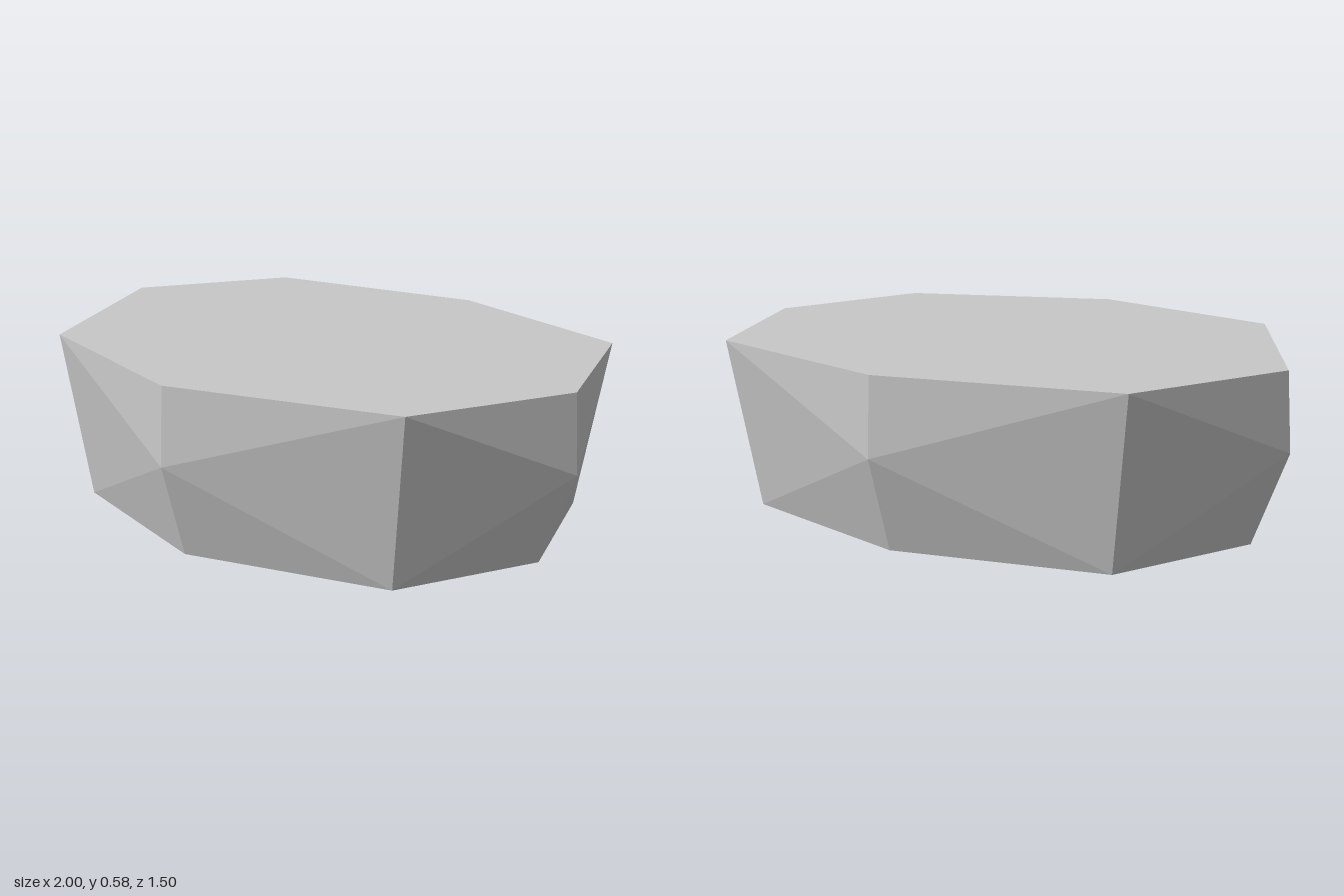
import * as THREE from 'three';
import { ConvexGeometry } from 'three/addons/geometries/ConvexGeometry.js';

const HEIGHT = 0.58;
const BULGE_HEIGHT = 0.32;
const BASE_SCALE = 0.903;

// Uneven eight-sided outline of the flat top, as [x, z]
const outline = [
  [0.98, -0.022], [0.73, 0.485], [0, 0.735], [-0.685, 0.57],
  [-0.98, -0.07], [-0.675, -0.565], [0.097, -0.735], [0.795, -0.565],
];

export function createModel() {
  const group = new THREE.Group();
  group.name = 'flatRock';

  const stone = new THREE.MeshStandardMaterial({ color: 0xc8c8c8 });
  stone.name = 'light grey stone';

  // Flat top, narrower base, and a bulge on every second corner
  const points = [];
  outline.forEach(([x, z], i) => {
    points.push(new THREE.Vector3(x, HEIGHT, z));
    points.push(new THREE.Vector3(x * BASE_SCALE, 0, z * BASE_SCALE));
    if (i % 2 === 0) points.push(new THREE.Vector3(x * 1.02, BULGE_HEIGHT, z * 1.02));
  });

  // The hull has one normal per face, so every facet is flat
  const rock = new THREE.Mesh(new ConvexGeometry(points), stone);
  rock.name = 'rock';
  group.add(rock);
  return group;
}
